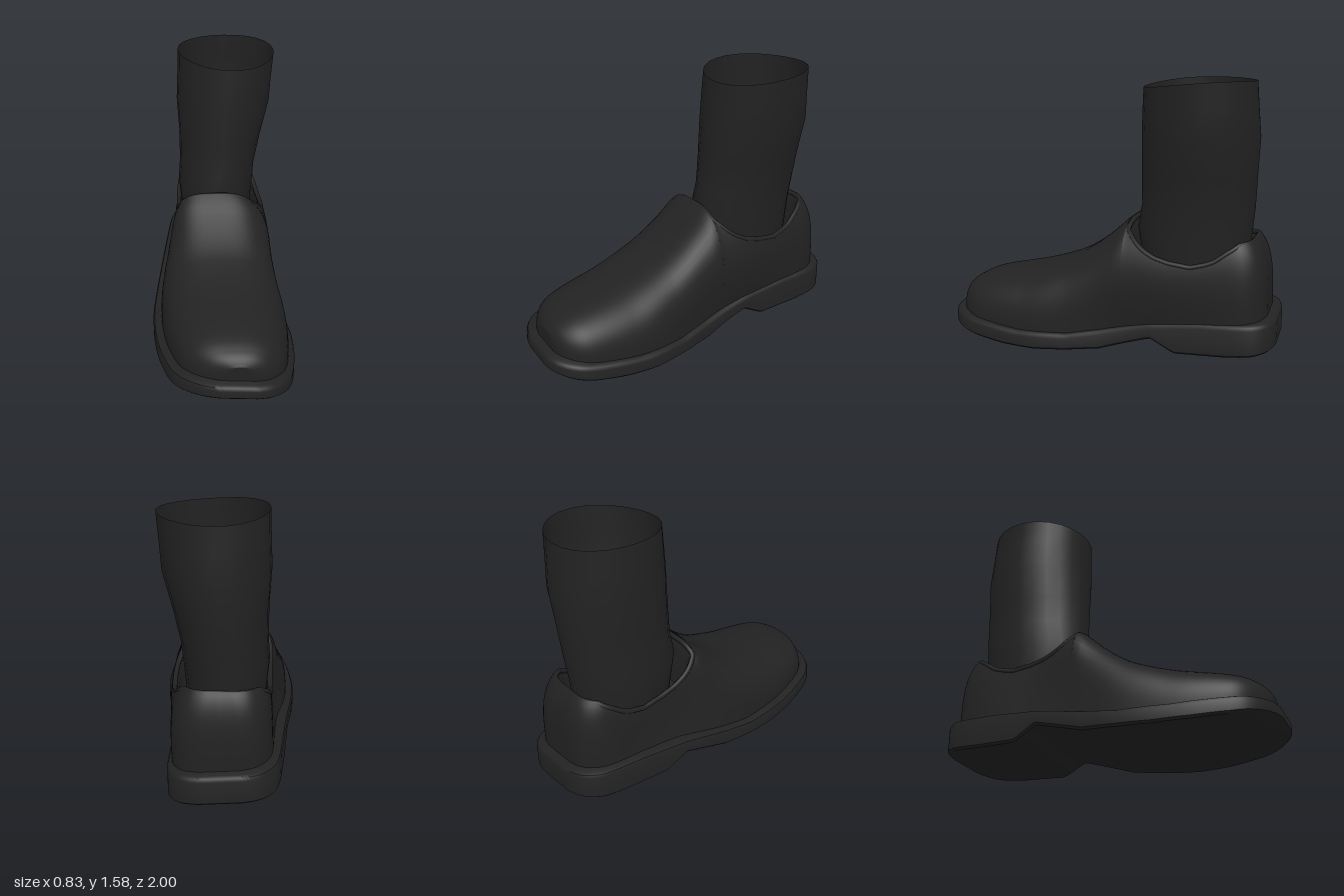
import * as THREE from 'three';
import { toCreasedNormals } from 'three/addons/utils/BufferGeometryUtils.js';

const V = (x, y, z) => new THREE.Vector3(x, y, z);
const clamp = THREE.MathUtils.clamp;

// Piecewise interpolation of [key, value] pairs, keys descending
function lookup(table, k) {
  if (k >= table[0][0]) return table[0][1];
  for (let i = 1; i < table.length; i++) {
    const [a, va] = table[i - 1], [b, vb] = table[i];
    if (k >= b) return va + (vb - va) * (a - k) / (a - b);
  }
  return table[table.length - 1][1];
}

// Surface through rows of points
function loft(rows, closed = false) {
  const n = rows[0].length, index = [];
  const cols = closed ? n : n - 1;
  for (let i = 0; i < rows.length - 1; i++) {
    for (let j = 0; j < cols; j++) {
      const a = i * n + j, b = i * n + (j + 1) % n;
      index.push(a, b, a + n, b, b + n, a + n);
    }
  }
  const g = new THREE.BufferGeometry().setFromPoints(rows.flat());
  g.setIndex(index);
  g.computeVertexNormals();
  return g;
}

// Plan outline from toe to heel: z, right side x, left side x
const outline = [
  [1, 0.06, 0.06], [1, -0.04, 0.16], [0.97, -0.15, 0.25], [0.9, -0.255, 0.325], [0.8, -0.32, 0.37],
  [0.6, -0.38, 0.405], [0.4, -0.41, 0.412], [0.2, -0.417, 0.385], [0, -0.4, 0.345],
  [-0.127, -0.385, 0.325], [-0.25, -0.37, 0.315], [-0.42, -0.35, 0.31], [-0.6, -0.33, 0.31],
  [-0.8, -0.305, 0.31], [-0.9, -0.27, 0.29], [-0.97, -0.2, 0.23], [-1, -0.1, 0.13], [-1, 0.015, 0.015],
];
const OPENING = 9; // outline row where the foot opening begins
const outlineCurve = new THREE.CatmullRomCurve3(
  outline.map(([z, l, r]) => V(l, r, z)), false, 'catmullrom', 0.5);
function station(k) {
  const p = outlineCurve.getPoint(k / (outline.length - 1));
  return { l: p.x, r: p.y, z: clamp(p.z, -1, 1), c: (p.x + p.y) / 2 };
}
function stations(from, to, per = 4) {
  const list = [];
  for (let i = 0; i <= (to - from) * per; i++) list.push(station(from + i / per));
  return list;
}

// Height profiles along z
const soleBottom = [[1, 0.07], [0.9, 0.048], [0.8, 0.03], [0.6, 0.01], [0.4, 0.001], [0.2, 0.006],
  [0, 0.02], [-0.3, 0.104], [-0.44, 0.028], [-0.7, 0.038], [-0.9, 0.055], [-1, 0.07]];
const soleTop = [[1, 0.15], [0.8, 0.125], [0.5, 0.1], [0.2, 0.1], [0, 0.13], [-0.3, 0.19],
  [-0.6, 0.22], [-1, 0.238]];
const upperTop = [[0.945, 0.27], [0.925, 0.3], [0.9, 0.322], [0.85, 0.35], [0.8, 0.369], [0.7, 0.393],
  [0.6, 0.412], [0.5, 0.433], [0.4, 0.458], [0.3, 0.49], [0.2, 0.53], [0.1, 0.592], [0, 0.67],
  [-0.1, 0.76], [-0.12, 0.775]];
const rimHeight = [[-0.12, 0.73], [-0.17, 0.68], [-0.22, 0.64], [-0.3, 0.6], [-0.4, 0.575], [-0.53, 0.56],
  [-0.65, 0.59], [-0.75, 0.645], [-0.85, 0.69], [-0.945, 0.7]];
const tilt = (x) => 0.055 * (0.42 - x) / 0.84;

// Sole section: bevelled welt on both edges, flat underneath
function soleRow(s) {
  const zc = clamp(s.z, -0.62, 0.6);
  const edge = (x, inset, y) => {
    const d = Math.max(Math.hypot(x - s.c, s.z - zc), 1e-4), k = Math.max(0, 1 - inset / d);
    const px = s.c + (x - s.c) * k;
    return V(px, y + tilt(px), zc + (s.z - zc) * k);
  };
  const b = lookup(soleBottom, s.z), t = lookup(soleTop, s.z);
  const side = [[0.012, b], [0, b + 0.012], [0, t - 0.025], [0.008, t - 0.008], [0.025, t], [0.085, t + 0.012]];
  return [...side.map(([i, y]) => edge(s.l, i, y)).reverse(), ...side.map(([i, y]) => edge(s.r, i, y))];
}

// One wall of the upper, from the welt up along a rounded arch
const STEPS = 18;
function upperColumn(s, side, open) {
  const z = s.z * 0.945, zc = Math.max(z, -0.62);
  const x = s.c + (s[side] - s.c) * (side === 'l' ? 0.88 : 0.92);
  const y0 = lookup(soleTop, s.z) + tilt(x) - 0.01, y1 = lookup(upperTop, z);
  const n = z > -0.12 ? THREE.MathUtils.lerp(3.5, 2.5, clamp((z + 0.12) / 0.6, 0, 1)) : 3.3;
  let end = Math.PI / 2;
  if (open) {
    const h = (lookup(rimHeight, z) - y0) / (y1 - y0);
    end = Math.atan2(h, Math.pow(1 - h ** n, 1 / n));
  }
  const ankle = 0.045 * Math.exp(-(((z + 0.3) / 0.35) ** 2));
  const column = [];
  for (let i = 0; i <= STEPS; i++) {
    const a = end * i / STEPS, c = Math.max(0, Math.cos(a)), q = Math.sin(a);
    const r = 1 / Math.pow(c ** n + q ** n, 1 / n);
    const y = y0 + (y1 - y0) * r * q;
    const lean = ankle * Math.sin(Math.PI * clamp((y - 0.15) / 0.63, 0, 1));
    column.push(V(s.c + (x - s.c) * r * c + lean, y, zc + (z - zc) * r * c));
  }
  return column;
}

// Sock rings: y, min x, max x, back z, front z
const sockRings = [
  [0.3, -0.2, 0.2, -0.78, -0.2], [0.55, -0.23, 0.22, -0.81, -0.17], [0.72, -0.245, 0.235, -0.825, -0.145],
  [0.86, -0.235, 0.247, -0.84, -0.17], [1.05, -0.235, 0.285, -0.85, -0.175], [1.27, -0.247, 0.338, -0.863, -0.18],
  [1.42, -0.24, 0.348, -0.85, -0.187], [1.57, -0.235, 0.36, -0.838, -0.195],
];
function sockRow([y, x0, x1, z0, z1], i) {
  const row = [], sides = 24;
  for (let j = 0; j < sides; j++) {
    const a = j / sides * Math.PI * 2, c = Math.cos(a), s = Math.sin(a);
    // uneven cut along the top edge
    const wave = i === sockRings.length - 1
      ? -0.018 * s - 0.008 * c + 0.01 * Math.cos(2 * a + 0.6) : 0;
    row.push(V((x0 + x1) / 2 + c * (x1 - x0) / 2, y + wave, (z0 + z1) / 2 + s * (z1 - z0) / 2));
  }
  return row;
}

export function createModel() {
  const group = new THREE.Group();
  const black = new THREE.MeshStandardMaterial({ color: 0x222222, side: THREE.DoubleSide });
  black.name = 'black';
  const add = (name, geometry) => {
    const mesh = new THREE.Mesh(geometry, black);
    mesh.name = name;
    group.add(mesh);
  };
  const last = outline.length - 1;

  // Sole with raised heel
  add('sole', toCreasedNormals(loft(stations(0, last, 6).map(soleRow), true), 0.7));

  // Closed front of the shoe
  const vampRows = stations(0, OPENING).map((s) =>
    [...upperColumn(s, 'l', false), ...upperColumn(s, 'r', false).reverse().slice(1)]);
  add('vamp', loft(vampRows));

  // Side walls meeting at the heel
  const rear = stations(OPENING, last);
  const walls = ['l', 'r'].map((side) => rear.map((s) => upperColumn(s, side, true)));
  add('rightQuarter', loft(walls[0]));
  add('leftQuarter', loft(walls[1]));

  // Rolled collar around the opening, and the lining inside it
  const rims = walls.map((rows) => rows.map((r) => r[STEPS]));
  const arch = vampRows[vampRows.length - 1].filter((p) => p.y > 0.74);
  const rim = [...rims[0].slice().reverse(), ...arch, ...rims[1].slice(0, -1)];
  const rimCurve = new THREE.CatmullRomCurve3(rim.map((p) => V(p.x * 0.98, p.y - 0.012, -0.5 + (p.z + 0.5) * 0.97)), true);
  add('collar', new THREE.TubeGeometry(rimCurve, 120, 0.015, 8, true));
  const lining = [[0, 1], [0.06, 0.93], [0.3, 0.9]].map(([drop, k]) =>
    rimCurve.getPoints(80).map((p) => V(p.x * k, p.y - drop, -0.5 + (p.z + 0.5) * k)));
  add('lining', loft(lining));

  // Sock, open at the top and closed inside the shoe
  const rows = sockRings.map(sockRow);
  const floor = rows[0].map(() => V(0, 0.3, -0.5));
  add('sock', toCreasedNormals(loft([floor, ...rows], true), 1));
  return group;
}
